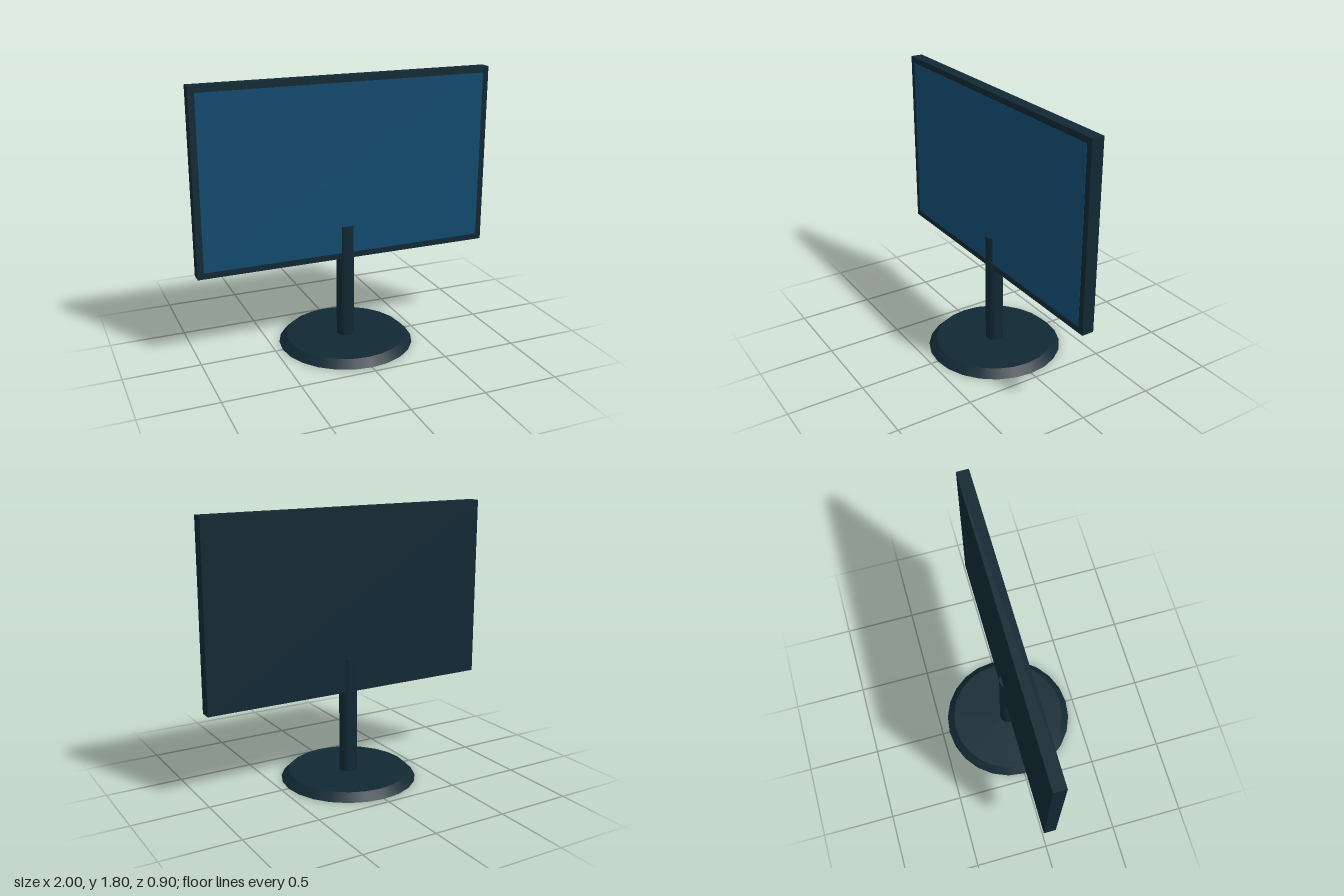
import * as THREE from 'three';

export function createModel() {
  const model = new THREE.Group();
  model.name = 'monitor';

  const casing = new THREE.MeshStandardMaterial({ color: 0x112833 });
  casing.name = 'dark casing';
  const glass = new THREE.MeshStandardMaterial({ color: 0x114a70 });
  glass.name = 'blue screen';

  const add = (name, geometry, material, y, z = 0) => {
    const mesh = new THREE.Mesh(geometry, material);
    mesh.name = name;
    mesh.position.set(0, y, z);
    model.add(mesh);
    return mesh;
  };

  // Round foot with a bevelled rim
  add('base', new THREE.CylinderGeometry(0.4, 0.45, 0.05, 24), casing, 0.025);

  // Pole, running up through the lower part of the panel
  add('pole', new THREE.CylinderGeometry(0.059, 0.059, 0.78, 24), casing, 0.43);

  // Flat panel body, and the thin screen set on its front
  add('panel', new THREE.BoxGeometry(2, 1.2, 0.08), casing, 1.2);
  add('screen', new THREE.BoxGeometry(1.92, 1.12, 0.004), glass, 1.2, 0.04);

  return model;
}
